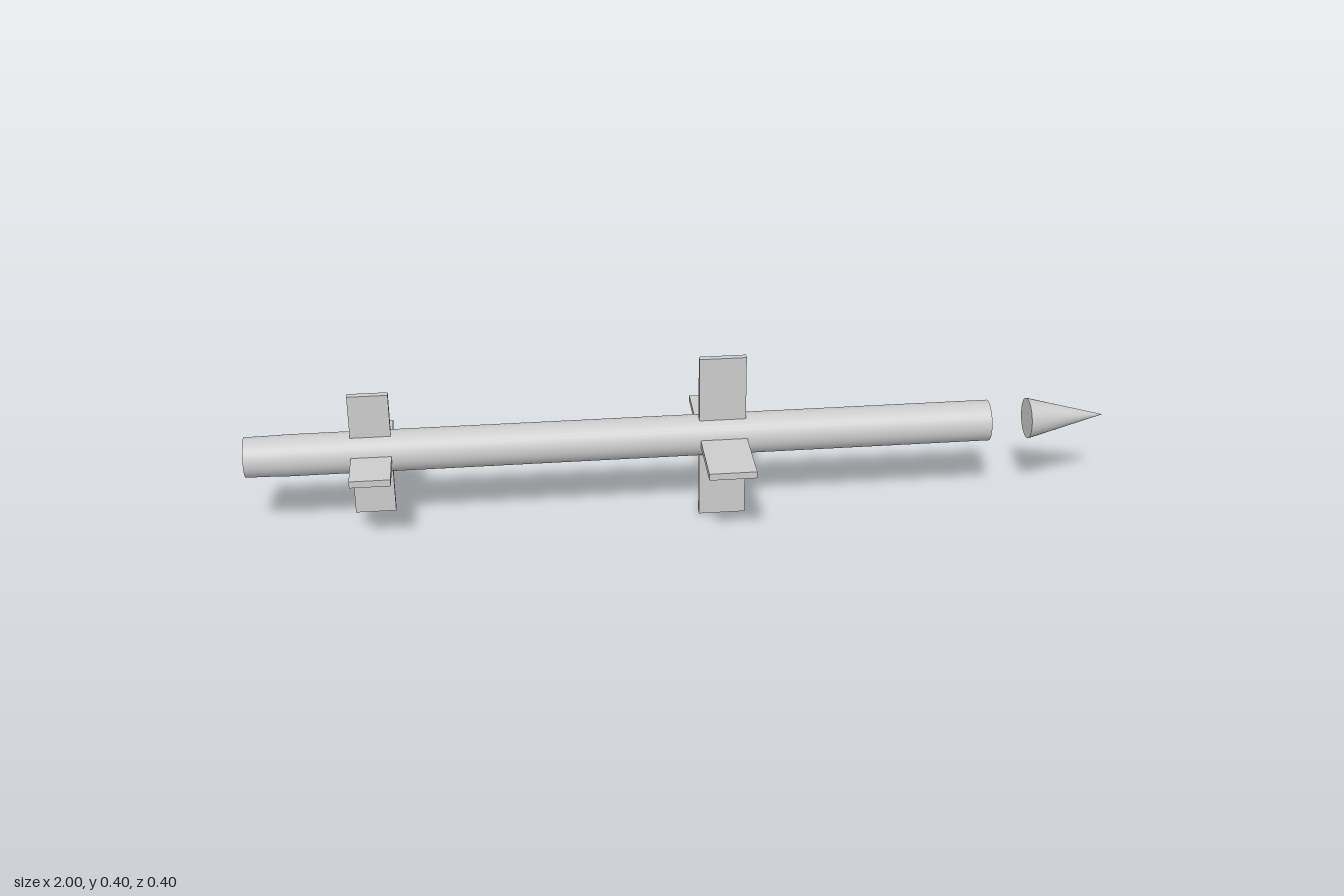
import * as THREE from 'three';

export function createModel() {
  const model = new THREE.Group();
  const material = new THREE.MeshStandardMaterial({ color: 0xcccccc });
  const axisY = 0.2, axisZ = -0.01;

  function add(name, geometry, x, y, z) {
    const mesh = new THREE.Mesh(geometry, material);
    mesh.name = name;
    mesh.position.set(x, y, z);
    model.add(mesh);
  }

  // Round part lying along x, from x0 (radius r0) to x1 (radius r1)
  function round(name, x0, x1, r0, r1) {
    const geometry = new THREE.CylinderGeometry(r1, r0, x1 - x0, 32).rotateZ(-Math.PI / 2);
    add(name, geometry, (x0 + x1) / 2, axisY, axisZ);
  }

  round('body', -0.915, 0.722, 0.048, 0.048);
  round('tailNozzle', -1, -0.88, 0.046, 0.0478);
  // The nose stands apart from the body
  round('noseCone', 0.817, 1, 0.048, 0);

  // Crossed plates running right through the body
  function fins(name, x0, x1, span) {
    const x = (x0 + x1) / 2, chord = x1 - x0, thick = 0.016;
    add(name + 'Vertical', new THREE.BoxGeometry(chord, span, thick), x, axisY, 0);
    add(name + 'Horizontal', new THREE.BoxGeometry(chord, thick, span), x, axisY, 0);
  }

  fins('middleFins', 0.037, 0.145, 0.4);
  fins('tailFins', -0.76, -0.668, 0.296);

  return model;
}
